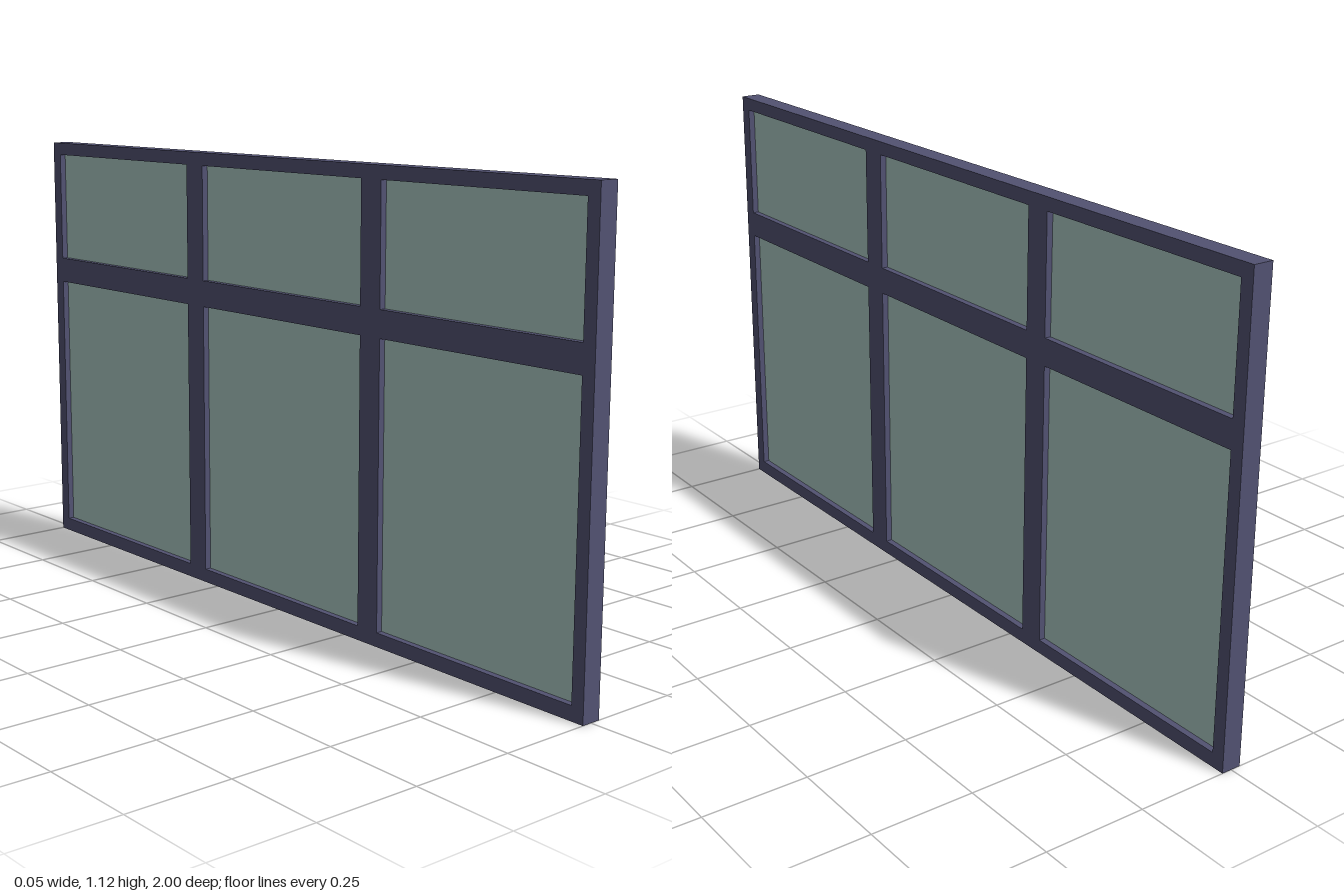
import * as THREE from 'three';

const WIDTH = 2, HEIGHT = 1.125, DEPTH = 0.05, GLASS = 0.018;

// Openings between the bars, as [start, end] pairs
const columns = [[-0.967, -0.367], [-0.3, 0.3], [0.367, 0.967]];
const rows = [[0.035, 0.733], [0.8, 1.092]];

function rectangle(path, [u0, u1], [v0, v1]) {
  path.moveTo(u0, v0);
  path.lineTo(u1, v0);
  path.lineTo(u1, v1);
  path.lineTo(u0, v1);
  path.closePath();
  return path;
}

export function createModel() {
  const model = new THREE.Group();
  model.name = 'window';
  const frameMaterial = new THREE.MeshStandardMaterial({ color: 0x525272 });
  const glassMaterial = new THREE.MeshStandardMaterial({ color: 0xaac8c1 });

  // Frame with mullions and transom: one slab pierced by six openings
  const outline = rectangle(new THREE.Shape(), [-WIDTH / 2, WIDTH / 2], [0, HEIGHT]);
  for (const column of columns) {
    for (const row of rows) outline.holes.push(rectangle(new THREE.Path(), column, row));
  }
  const frameGeometry = new THREE.ExtrudeGeometry(outline, { depth: DEPTH, bevelEnabled: false });
  frameGeometry.translate(0, 0, -DEPTH / 2).rotateY(Math.PI / 2);
  const frame = new THREE.Mesh(frameGeometry, frameMaterial);
  frame.name = 'frame';
  model.add(frame);

  // Recessed glass pane in each opening
  const panes = new THREE.Group();
  panes.name = 'panes';
  for (const [z0, z1] of columns) {
    for (const [y0, y1] of rows) {
      const pane = new THREE.Mesh(new THREE.BoxGeometry(GLASS, y1 - y0, z1 - z0), glassMaterial);
      pane.position.set(0, (y0 + y1) / 2, (z0 + z1) / 2);
      pane.name = y0 < 0.5 ? 'lowerPane' : 'upperPane';
      panes.add(pane);
    }
  }
  model.add(panes);
  return model;
}
